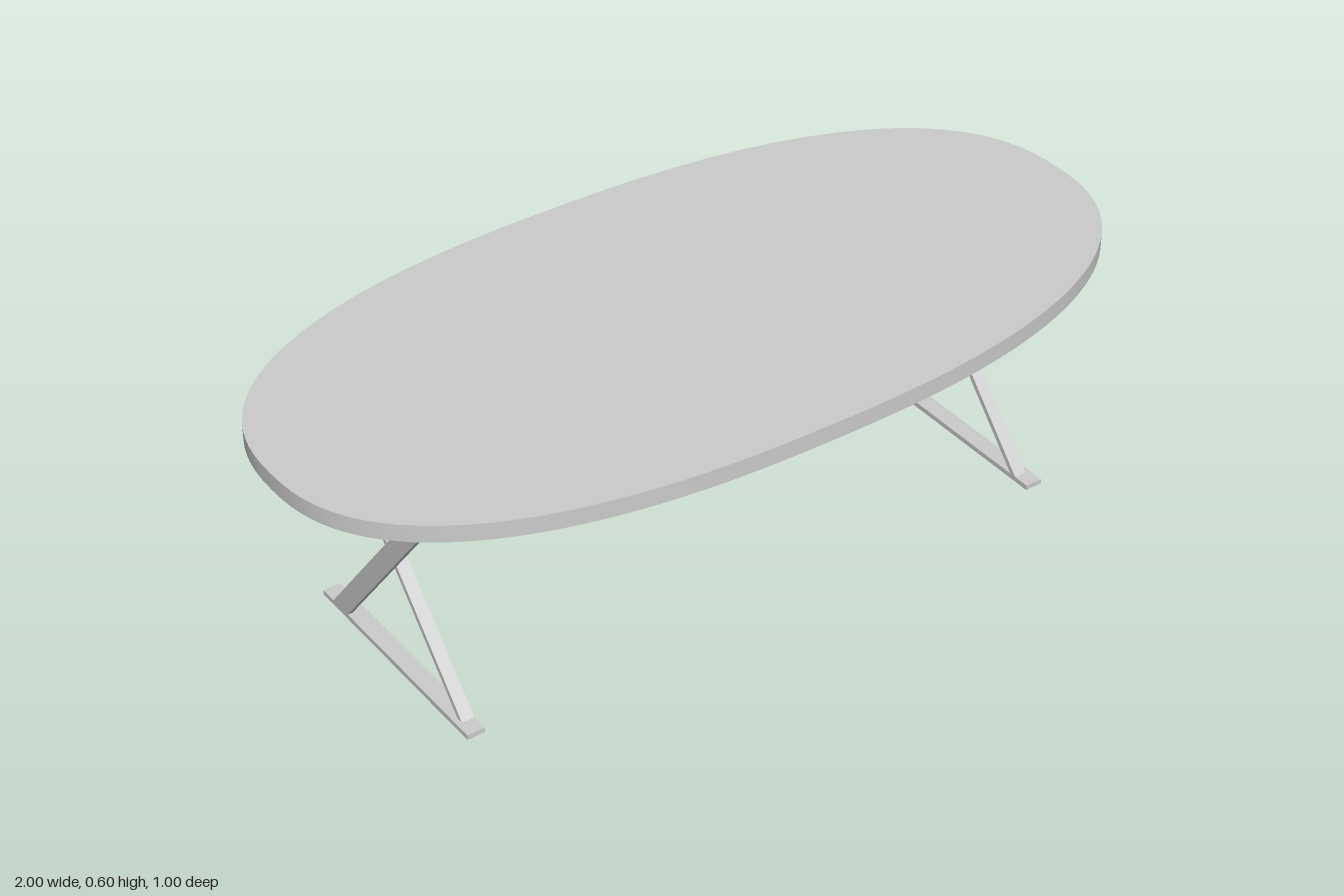
import * as THREE from 'three';
import { toCreasedNormals } from 'three/addons/utils/BufferGeometryUtils.js';

const grey = new THREE.MeshStandardMaterial({ color: 0xcccccc });

function addMesh(parent, name, geometry) {
  const mesh = new THREE.Mesh(geometry, grey);
  mesh.name = name;
  parent.add(mesh);
  return mesh;
}

// Sloping flat bar: a [z, y] outline swept along x from x0 to x1
function profileAlongX(points, x0, x1) {
  const shape = new THREE.Shape(points.map(([z, y]) => new THREE.Vector2(z, y)));
  const geometry = new THREE.ExtrudeGeometry(shape, { depth: x1 - x0, bevelEnabled: false });
  return geometry.rotateY(-Math.PI / 2).translate(x1, 0, 0);
}

// Parallelogram leaning from z = zLow at yLow to z = zHigh at yHigh
function slant(zLow, yLow, zHigh, yHigh, width) {
  const w = width / 2;
  return [[zLow - w, yLow], [zLow + w, yLow], [zHigh + w, yHigh], [zHigh - w, yHigh]];
}

// Rounded oval top with full shoulders
function tabletopGeometry() {
  const points = [];
  const steps = 128, power = 2 / 2.4;
  const bend = (v) => Math.sign(v) * Math.abs(v) ** power;
  for (let i = 0; i < steps; i++) {
    const a = (i / steps) * Math.PI * 2;
    points.push(new THREE.Vector2(bend(Math.cos(a)), 0.5 * bend(Math.sin(a))));
  }
  const geometry = new THREE.ExtrudeGeometry(new THREE.Shape(points), { depth: 0.04, bevelEnabled: false });
  geometry.rotateX(-Math.PI / 2).translate(0, 0.56, 0);
  return toCreasedNormals(geometry, 0.6);
}

export function createModel() {
  const model = new THREE.Group();
  model.name = 'table';
  addMesh(model, 'tabletop', tabletopGeometry());

  const low = 0.012, high = 0.548;
  const inner = 0.715, edge = 0.745, outer = 0.757;

  // Crossed leg frame at each end, mirrored in x
  for (const side of [1, -1]) {
    const frame = new THREE.Group();
    frame.name = side > 0 ? 'leftLegFrame' : 'rightLegFrame';
    model.add(frame);
    const span = (a, b) => (side > 0 ? [a, b] : [-b, -a]);

    // Floor rail and mounting rail
    for (const [name, y] of [['footRail', 0.006], ['topRail', 0.554]]) {
      const rail = addMesh(frame, name, new THREE.BoxGeometry(outer - inner, 0.012, 0.58));
      rail.position.set(side * (inner + outer) / 2, y, 0);
    }

    // Upright flat bar on the outside, crossing bar laid flat inside it
    addMesh(frame, 'outerLeg', profileAlongX(slant(-0.217, low, 0.215, high, 0.06), ...span(edge, outer)));
    addMesh(frame, 'innerLeg', profileAlongX(slant(0.242, low, -0.244, high, 0.017), ...span(inner, edge)));
  }

  // Long stretchers, each tilted in line with the leg it joins
  const y0 = 0.465, y1 = 0.507;
  const along = (zLow, zHigh, y) => zLow + (zHigh - zLow) * (y - low) / (high - low);
  addMesh(model, 'frontStretcher', profileAlongX(
    slant(along(-0.217, 0.215, y0), y0, along(-0.217, 0.215, y1), y1, 0.016), -edge, edge));
  addMesh(model, 'backStretcher', profileAlongX(
    slant(along(0.242, -0.244, y0), y0, along(0.242, -0.244, y1), y1, 0.015), -edge, edge));

  return model;
}
